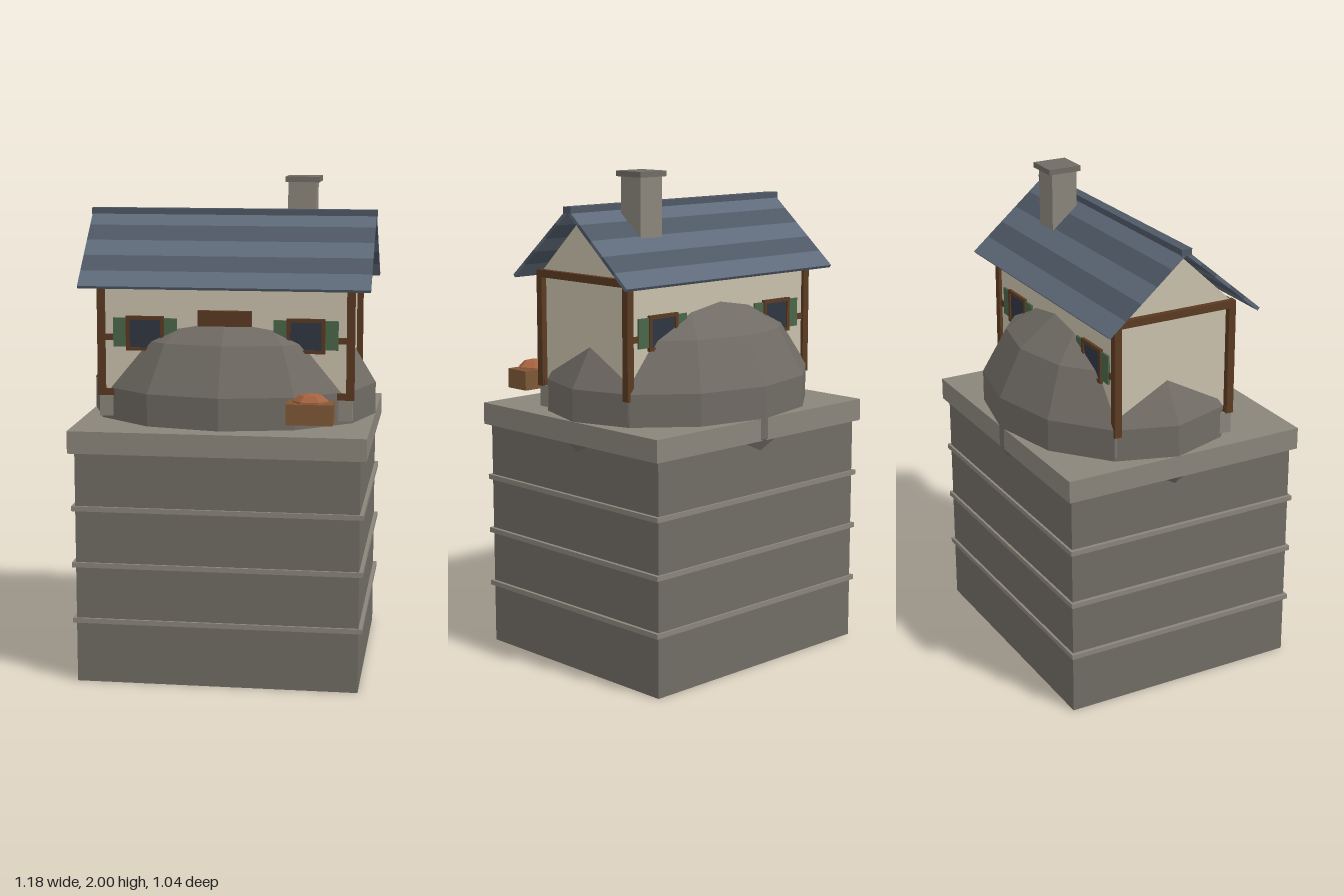
import * as THREE from 'three';

const COLORS = {
  stone: 0x706b64, paleStone: 0x8a857b, plaster: 0xc9c0ab, wood: 0x5a3a22,
  lightWood: 0x7d5835, slateA: 0x5f6b7a, slateB: 0x4e5865, green: 0x4a6648,
  glass: 0x2f3642, rust: 0xa5623f,
};
const mats = {};
for (const [k, color] of Object.entries(COLORS)) {
  mats[k] = new THREE.MeshStandardMaterial({ color, flatShading: true });
}

function add(parent, name, geo, mat) {
  const mesh = new THREE.Mesh(geo, mats[mat]);
  mesh.name = name;
  parent.add(mesh);
  return mesh;
}

// Box given by its limits on each axis
function box(parent, name, mat, [x0, x1], [y0, y1], [z0, z1]) {
  const mesh = add(parent, name, new THREE.BoxGeometry(x1 - x0, y1 - y0, z1 - z0), mat);
  mesh.position.set((x0 + x1) / 2, (y0 + y1) / 2, (z0 + z1) / 2);
  return mesh;
}

const MID = -0.017; // z of the house ridge

function buildTower(root) {
  const g = new THREE.Group();
  g.name = 'tower';
  box(g, 'towerBody', 'stone', [-0.565, 0.565], [0, 0.95], [-0.5, 0.5]);
  for (const y of [0.255, 0.485, 0.715]) {
    box(g, 'towerBand', 'paleStone', [-0.58, 0.58], [y - 0.01, y + 0.01], [-0.51, 0.51]);
  }
  box(g, 'towerCap', 'paleStone', [-0.59, 0.59], [0.94, 1.03], [-0.52, 0.52]);
  // Faceted boulder the house sits on
  const rock = add(g, 'boulder', new THREE.SphereGeometry(1, 12, 7), 'stone');
  rock.scale.set(0.605, 0.48, 0.497);
  rock.position.set(0, 1.053, -0.04);
  root.add(g);
}

function buildWindow(parent, x) {
  const g = new THREE.Group();
  g.name = 'window';
  box(g, 'windowGlass', 'glass', [-0.065, 0.065], [1.325, 1.44], [0.24, 0.262]);
  for (const s of [-1, 1]) {
    const side = [s * 0.0775, s * 0.0625].sort((a, b) => a - b);
    box(g, 'frameSide', 'wood', side, [1.315, 1.455], [0.24, 0.268]);
    const leaf = [s * 0.13, s * 0.0775].sort((a, b) => a - b);
    box(g, 'shutter', 'green', leaf, [1.33, 1.447], [0.245, 0.263]);
  }
  box(g, 'frameTop', 'wood', [-0.0775, 0.0775], [1.44, 1.455], [0.24, 0.268]);
  box(g, 'frameSill', 'wood', [-0.0775, 0.0775], [1.315, 1.328], [0.24, 0.268]);
  g.position.x = x;
  parent.add(g);
}

function buildHouse(root) {
  const g = new THREE.Group();
  g.name = 'house';
  // Walls and gables in one prism along x
  const end = new THREE.Shape([[-0.255, 1.14], [0.255, 1.14], [0.255, 1.6], [0, 1.838], [-0.255, 1.6]]
    .map(([a, b]) => new THREE.Vector2(a, b)));
  const walls = add(g, 'walls', new THREE.ExtrudeGeometry(end, { depth: 0.99, bevelEnabled: false }), 'plaster');
  walls.rotation.y = Math.PI / 2;
  walls.position.set(-0.495, 0, MID);

  // Timber frame: long walls, mirrored front to back
  for (const s of [1, -1]) {
    const face = new THREE.Group();
    face.name = s > 0 ? 'frontWall' : 'backWall';
    box(face, 'sillBeam', 'wood', [-0.515, 0.515], [1.13, 1.158], [0.235, 0.267]);
    box(face, 'middleRail', 'wood', [-0.5, 0.5], [1.355, 1.38], [0.24, 0.261]);
    box(face, 'topBeam', 'wood', [-0.5, 0.5], [1.572, 1.6], [0.237, 0.265]);
    for (const x of [-1, 1]) {
      const px = [x * 0.52, x * 0.488].sort((a, b) => a - b);
      box(face, 'cornerPost', 'wood', px, [1.13, 1.6], [0.238, 0.268]);
      const fx = [x * 0.513, x * 0.457].sort((a, b) => a - b);
      box(face, 'footStone', 'paleStone', fx, [1.045, 1.132], [0.195, 0.263]);
      buildWindow(face, x * 0.325);
    }
    face.rotation.y = s > 0 ? 0 : Math.PI;
    face.position.z = MID;
    g.add(face);
  }
  // Tie beams under the gables
  for (const x of [-0.503, 0.503]) {
    box(g, 'gableBeam', 'wood', [x - 0.016, x + 0.016], [1.572, 1.602], [MID - 0.268, MID + 0.268]);
  }
  // Blank board above the boulder
  box(g, 'board', 'wood', [-0.108, 0.108], [1.42, 1.482], [0.23, 0.262]);
  root.add(g);
}

function buildRoof(root) {
  const g = new THREE.Group();
  g.name = 'roof';
  const run = 0.33, drop = 0.28, rows = 5;
  const slope = Math.hypot(run, drop), tilt = Math.atan2(drop, run);
  for (const s of [1, -1]) {
    // Courses of slate from ridge to eave, in alternating tones
    for (let i = 0; i < rows; i++) {
      const t = (i + 0.5) / rows;
      const geo = new THREE.BoxGeometry(1.17, 0.014, slope / rows);
      const row = add(g, 'slateCourse', geo, i % 2 ? 'slateB' : 'slateA');
      row.rotation.x = s * tilt;
      row.position.set(0, 1.855 - t * drop, MID + s * t * run);
    }
  }
  box(g, 'ridgeCap', 'slateB', [-0.588, 0.588], [1.843, 1.87], [MID - 0.022, MID + 0.022]);
  box(g, 'chimney', 'paleStone', [0.22, 0.335], [1.66, 1.985], [-0.163, -0.052]);
  box(g, 'chimneyCap', 'stone', [0.21, 0.35], [1.978, 2], [-0.18, -0.038]);
  root.add(g);
}

function buildPlanter(root) {
  const g = new THREE.Group();
  g.name = 'planter';
  box(g, 'planterBox', 'lightWood', [0.275, 0.457], [1.077, 1.158], [0.407, 0.52]);
  const plant = add(g, 'flowers', new THREE.SphereGeometry(1, 6, 5), 'rust');
  plant.scale.set(0.075, 0.044, 0.062);
  plant.position.set(0.366, 1.152, 0.463);
  root.add(g);
}

export function createModel() {
  const root = new THREE.Group();
  root.name = 'towerHouse';
  buildTower(root);
  buildHouse(root);
  buildRoof(root);
  buildPlanter(root);
  return root;
}
